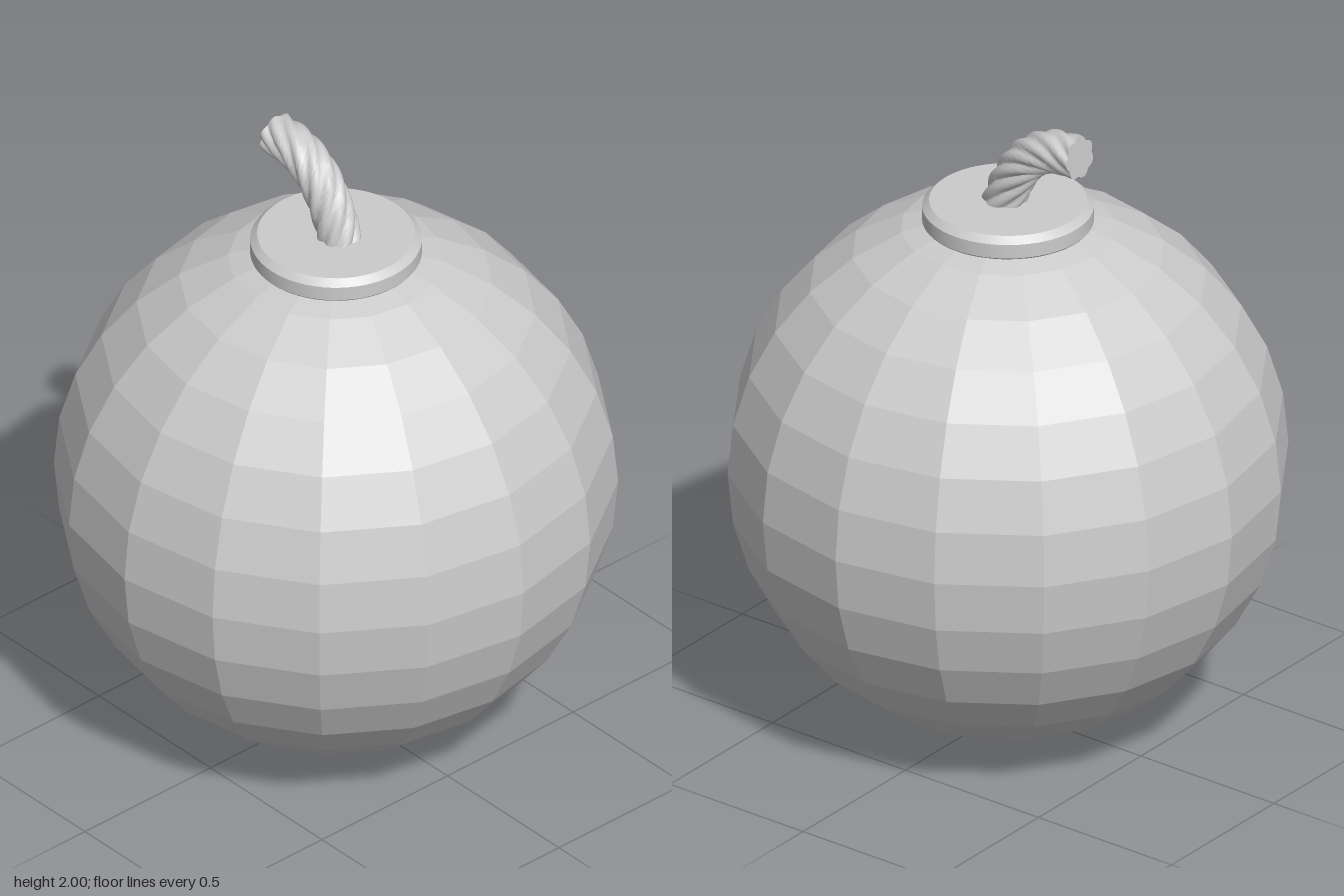
import * as THREE from 'three';
import { mergeVertices, toCreasedNormals } from 'three/addons/utils/BufferGeometryUtils.js';

const R = 0.842;

// Twisted rope: a cylinder with lobed sections, wound along a curve
function ropeGeometry(curve, radius, strands, turns) {
  const raw = new THREE.CylinderGeometry(1, 1, 1, 48, 40);
  raw.deleteAttribute('normal');
  raw.deleteAttribute('uv');
  const geo = mergeVertices(raw, 1e-4);
  const pos = geo.attributes.position;
  const side = new THREE.Vector3(0, 0, 1);
  for (let i = 0; i < pos.count; i++) {
    const t = pos.getY(i) + 0.5;
    const rho = Math.hypot(pos.getX(i), pos.getZ(i));
    const a = Math.atan2(pos.getZ(i), pos.getX(i));
    const r = rho * radius * (0.84 + 0.16 * Math.abs(Math.sin(a * strands / 2)));
    const wound = a - turns * Math.PI * 2 * t;
    const tangent = curve.getTangentAt(t);
    const across = new THREE.Vector3().crossVectors(tangent, side).normalize();
    const p = curve.getPointAt(t)
      .addScaledVector(across, r * Math.cos(wound))
      .addScaledVector(side, r * Math.sin(wound));
    pos.setXYZ(i, p.x, p.y, p.z);
  }
  return toCreasedNormals(geo, 0.9);
}

export function createModel() {
  const group = new THREE.Group();
  const smooth = new THREE.MeshStandardMaterial({ color: 0xcccccc });
  const faceted = new THREE.MeshStandardMaterial({ color: 0xcccccc, flatShading: true });
  const add = (name, geometry, material) => {
    const mesh = new THREE.Mesh(geometry, material);
    mesh.name = name;
    group.add(mesh);
    return mesh;
  };

  // Faceted round body
  add('body', new THREE.SphereGeometry(R, 16, 16), faceted).position.y = R;

  // Round cap with bevelled rims
  const profile = [[0, 1.62], [0.235, 1.62], [0.256, 1.645], [0.256, 1.69], [0.235, 1.71], [0, 1.71]]
    .map(([x, y]) => new THREE.Vector2(x, y));
  add('cap', toCreasedNormals(new THREE.LatheGeometry(profile, 64), 0.4), smooth);

  // Bent rope fuse
  const path = new THREE.CatmullRomCurve3([
    [0.02, 1.69], [-0.02, 1.79], [-0.08, 1.875], [-0.165, 1.925], [-0.27, 1.935],
  ].map(([x, y]) => new THREE.Vector3(x, y, 0)));
  add('fuse', ropeGeometry(path, 0.067, 7, 0.75), smooth);

  return group;
}
